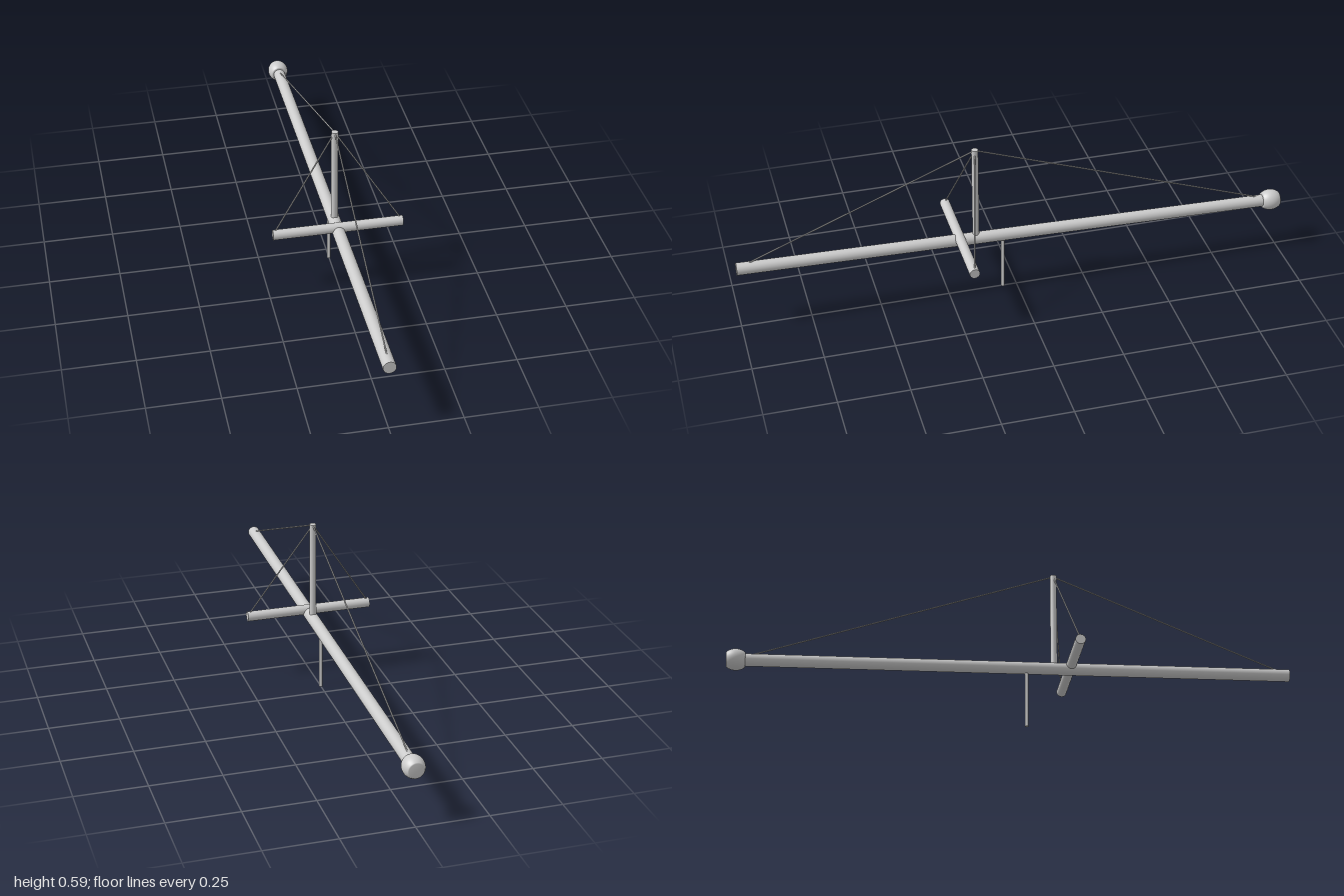
import * as THREE from 'three';

const material = new THREE.MeshStandardMaterial({ color: 0xcccccc });
const V = (x, y, z) => new THREE.Vector3(x, y, z);

export function createModel() {
  const model = new THREE.Group();

  // Places a geometry that runs along y so that it points from a to b
  const place = (name, geometry, a, b) => {
    const mesh = new THREE.Mesh(geometry, material);
    mesh.name = name;
    mesh.position.copy(a).add(b).multiplyScalar(0.5);
    mesh.quaternion.setFromUnitVectors(V(0, 1, 0), b.clone().sub(a).normalize());
    model.add(mesh);
  };
  const rod = (name, a, b, radius, sides = 32) =>
    place(name, new THREE.CylinderGeometry(radius, radius, a.distanceTo(b), sides), a, b);

  // Long, slightly sloping boom
  const boomBack = V(0, 0.2, -0.94);
  const boomFront = V(0, 0.245, 0.999);
  rod('boom', boomBack, boomFront, 0.022);

  // Rounded end knob with flat faces
  const half = 0.033, radius = 0.038, cap = 0.026;
  const profile = [new THREE.Vector2(0, -half)];
  const start = Math.acos(cap / radius);
  for (let i = 0; i <= 16; i++) {
    const t = start * (i / 8 - 1);
    profile.push(new THREE.Vector2(radius * Math.cos(t), half * Math.sin(t) / Math.sin(start)));
  }
  profile.push(new THREE.Vector2(0, half));
  place('endKnob', new THREE.LatheGeometry(profile, 40), V(0, 0.199, -0.999), V(0, 0.2005, -0.934));

  // Crossbar, mast and lower peg
  rod('crossbar', V(-0.23, 0.238, 0.208), V(0.23, 0.238, 0.208), 0.018);
  const mastTop = V(0, 0.593, 0.148);
  rod('mast', V(0, 0.225, 0.148), mastTop, 0.012);
  rod('lowerPeg', V(0, 0, 0.05), V(0, 0.222, 0.05), 0.0065, 24);

  // Stay wires from the masthead
  const wireTop = V(0, 0.59, 0.148);
  rod('frontStay', wireTop, V(0, 0.264, 0.955), 0.0025, 10);
  rod('backStay', wireTop, V(0, 0.221, -0.91), 0.0025, 10);
  for (const side of [-1, 1]) {
    rod(side > 0 ? 'leftStay' : 'rightStay', wireTop, V(side * 0.22, 0.253, 0.206), 0.0025, 10);
  }

  return model;
}
